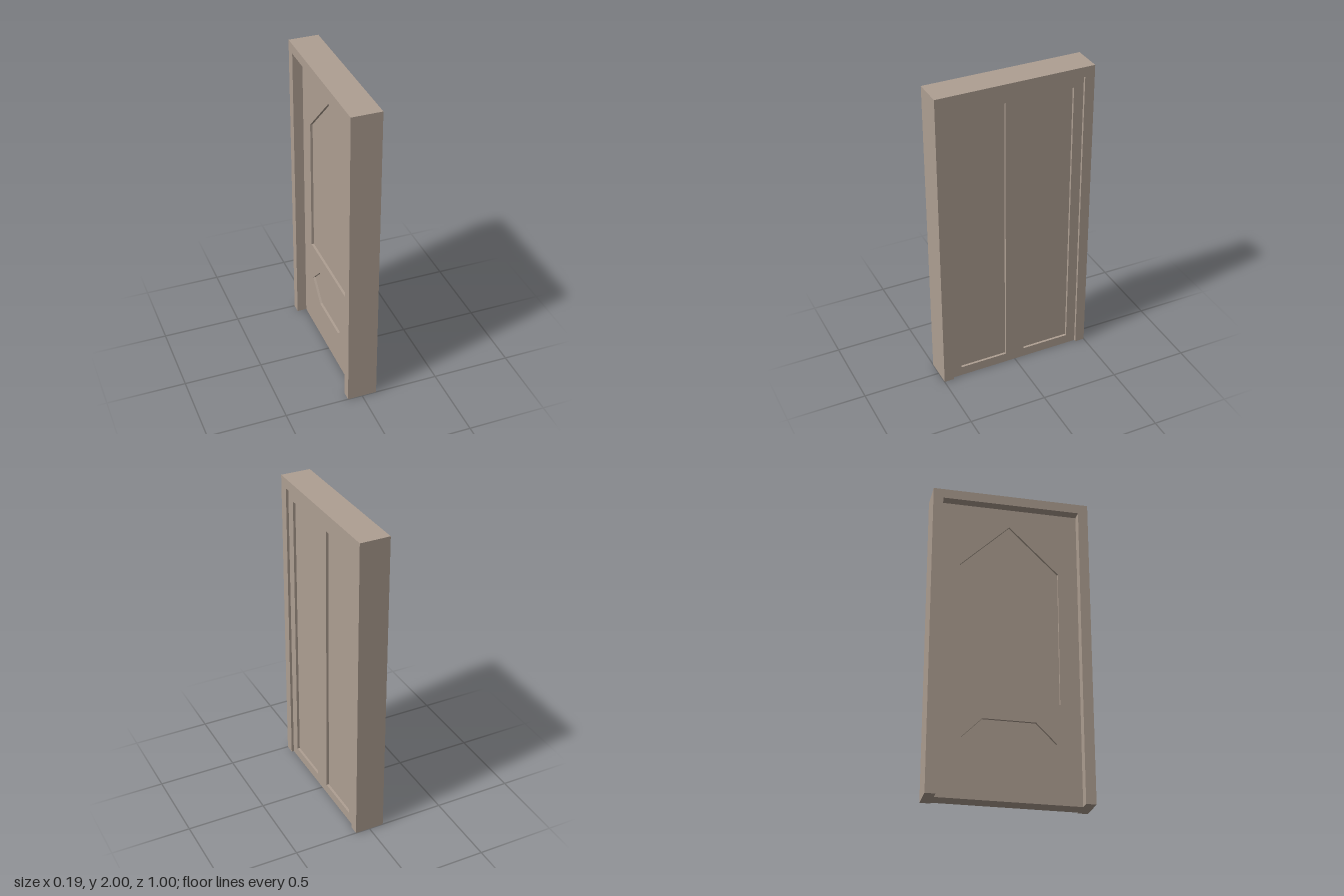
import * as THREE from 'three';

const HALF = 0.094;   // half of the wall thickness
const STEP = 0.0156;  // depth of each panel recess

const wood = new THREE.MeshStandardMaterial({ color: 0xae9f92 });
wood.name = 'taupe wood';

const points = (list) => list.map(([a, b]) => new THREE.Vector2(a, b));

const rect = (a0, a1, b0, b1) => [[a0, b0], [a1, b0], [a1, b1], [a0, b1]];

// Extrudes an outline drawn in the door plane (across, up) between two x positions.
function slab(name, outline, holes, x0, x1) {
  const shape = new THREE.Shape(points(outline));
  for (const h of holes) shape.holes.push(new THREE.Path(points(h)));
  const geo = new THREE.ExtrudeGeometry(shape, { depth: x1 - x0, bevelEnabled: false });
  geo.rotateY(Math.PI / 2);
  geo.translate(x0, 0, 0);
  const mesh = new THREE.Mesh(geo, wood);
  mesh.name = name;
  return mesh;
}

export function createModel() {
  const model = new THREE.Group();
  model.name = 'door';

  // Frame: two jambs and a head, open at the floor
  const w = 0.4375, top = 1.9375;
  model.add(slab('frame', [
    [-0.5, 0], [-w, 0], [-w, top], [w, top], [w, 0], [0.5, 0], [0.5, 2], [-0.5, 2],
  ], [], -HALF, HALF));

  // Door leaf: a core between two cut-out faces
  const leaf = rect(-w, w, 0, top);
  const front = HALF - STEP;
  const back = -HALF + 0.0625;
  model.add(slab('leafCore', leaf, [], back + STEP, front - STEP));

  // Two tall panels on the +x face
  model.add(slab('twoPanelFace', leaf, [
    rect(-0.375, -0.0625, 0.0625, 1.875),
    rect(0.0625, 0.375, 0.0625, 1.875),
  ], front - STEP, front));

  // Pointed panel above a six-sided panel on the -x face
  model.add(slab('pointedPanelFace', leaf, [
    [[-0.3125, 0.625], [0.3125, 0.625], [0.3125, 1.51], [0, 1.8125], [-0.3125, 1.51]],
    [[-0.2875, 0.375], [-0.1625, 0.25], [0.1625, 0.25], [0.2875, 0.375], [0.1625, 0.5], [-0.1625, 0.5]],
  ], back, back + STEP));

  return model;
}
